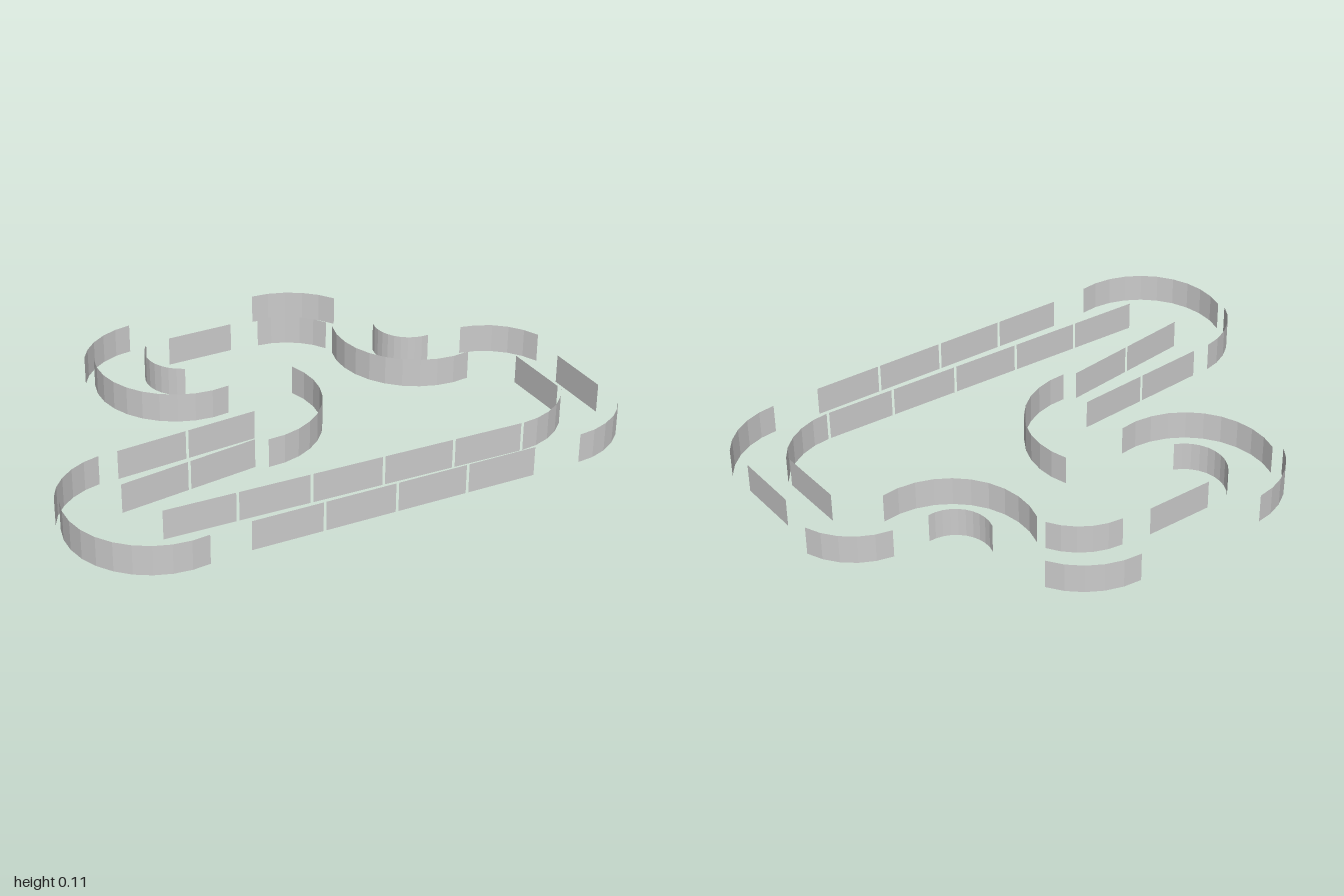
import * as THREE from 'three';

const HEIGHT = 0.108;
const GAP = 0.01; // space between barriers in a row

const material = new THREE.MeshStandardMaterial({
  color: 0xcccccc, side: THREE.DoubleSide, flatShading: true,
});

// Upright thin barrier from (x0,z0) to (x1,z1), turning by sweep degrees on the way.
function wall(name, x0, z0, x1, z1, sweep = 0) {
  const s = THREE.MathUtils.degToRad(sweep);
  const steps = Math.max(1, Math.round(Math.abs(sweep) / 12));
  const chord = Math.hypot(x1 - x0, z1 - z0);
  const h0 = Math.atan2(z1 - z0, x1 - x0) - s / 2;
  const r = s ? chord / (2 * Math.sin(s / 2)) : 0;
  const geo = new THREE.PlaneGeometry(1, HEIGHT, steps, 1);
  const pos = geo.attributes.position;
  for (let i = 0; i < pos.count; i++) {
    const t = pos.getX(i) + 0.5;
    const h = h0 + s * t;
    const x = s ? x0 + r * (Math.sin(h) - Math.sin(h0)) : x0 + (x1 - x0) * t;
    const z = s ? z0 - r * (Math.cos(h) - Math.cos(h0)) : z0 + (z1 - z0) * t;
    pos.setXYZ(i, x, pos.getY(i) + HEIGHT / 2, z);
  }
  geo.computeVertexNormals();
  const mesh = new THREE.Mesh(geo, material);
  mesh.name = name;
  return mesh;
}

export function createModel() {
  const track = new THREE.Group();
  track.name = 'trackBarriers';

  // Rows of straight barriers: name, start x, z, end x, z, count
  const rows = [
    ['frontOuterStraight', -0.5, 0.68, 0.546, 0.72, 4],
    ['frontInnerStraight', -0.72, 0.493, 0.594, 0.566, 5],
    ['middleOuterStraight', -0.697, 0.09, -0.165, 0.065, 2],
    ['middleInnerStraight', -0.771, 0.288, -0.25, 0.235, 2],
    ['backInnerStraight', -0.205, -0.557, 0.055, -0.553, 1],
    ['sideOuterStraight', 0.971, 0.468, 0.971, 0.21, 1],
    ['sideInnerStraight', 0.841, 0.408, 0.838, 0.142, 1],
  ];
  for (const [name, x0, z0, x1, z1, count] of rows) {
    const row = new THREE.Group();
    row.name = name;
    const dx = (x1 - x0) / count, dz = (z1 - z0) / count;
    const fill = 1 - GAP / Math.hypot(dx, dz);
    for (let i = 0; i < count; i++) {
      const x = x0 + i * dx, z = z0 + i * dz;
      row.add(wall('straightBarrier', x, z, x + dx * fill, z + dz * fill));
    }
    track.add(row);
  }

  // Long bends of one shape: name, start x, z
  const longBends = [
    ['hairpinLongCurve', -0.648, 0.687],
    ['sideLongCurve', 0.704, 0.043],
    ['backLongCurve', -0.173, -0.137],
  ];
  for (const [name, x, z] of longBends) track.add(wall(name, x, z, x - 0.337, z - 0.402, 120));

  // Other curved barriers: name, start x, z, end x, z, sweep
  const curves = [
    ['middleLongCurve', -0.22, 0.258, 0.09, -0.157, -116],
    // short bends
    ['hairpinShortCurve', -0.99, 0.255, -0.765, 0.09, 60],
    ['frontOuterCorner', 0.716, 0.722, 0.975, 0.58, -60],
    ['frontInnerCorner', 0.594, 0.566, 0.845, 0.425, -60],
    ['sideOuterCorner', 1, 0.053, 0.782, -0.133, -65],
    ['backOuterCornerA', 0.22, -0.72, 0.487, -0.56, 60],
    ['backInnerCornerA', 0.15, -0.539, 0.363, -0.4, 60],
    ['backOuterCornerB', -0.535, -0.566, -0.29, -0.721, 60],
    // tight bends
    ['sideTightCurve', 0.645, -0.137, 0.512, -0.31, 115],
    ['backTightCurve', -0.253, -0.32, -0.3, -0.548, 110],
  ];
  for (const c of curves) track.add(wall(...c));

  return track;
}
